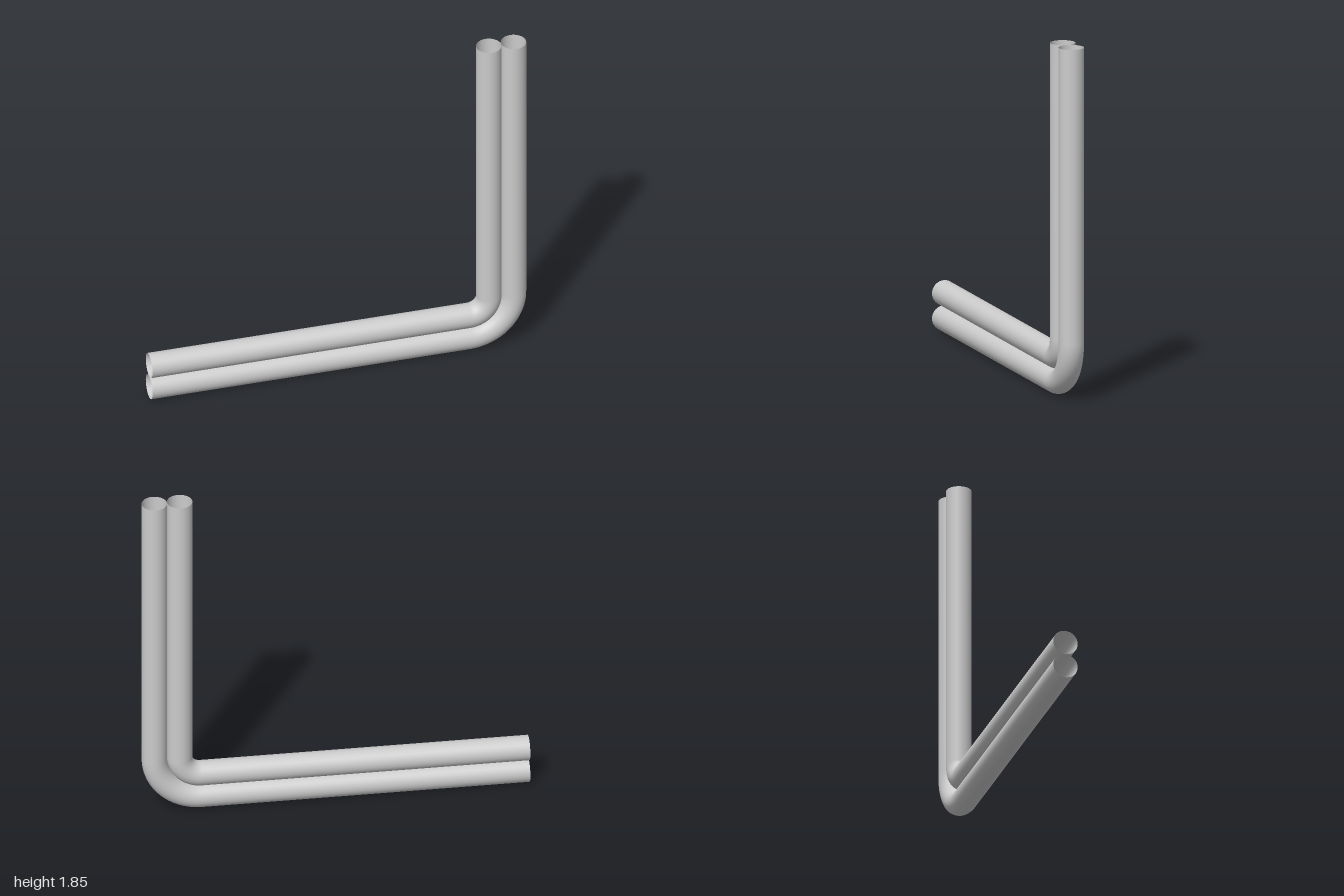
import * as THREE from 'three';

const R = 0.0655;                        // pipe radius
const SIDES = 32;
const BEND = { x: 0.695, y: 0.305 };     // shared centre of both elbows
const LEFT_END = -1, TOP = 1.85;

const material = new THREE.MeshStandardMaterial({ color: 0xcccccc, side: THREE.DoubleSide });

function addMesh(group, name, geometry, x, y) {
  const mesh = new THREE.Mesh(geometry, material);
  mesh.name = name;
  mesh.position.set(x, y, 0);
  group.add(mesh);
}

// Open-ended pipe: horizontal run, quarter elbow, vertical riser
function makePipe(name, bendRadius) {
  const pipe = new THREE.Group();
  pipe.name = name;

  const runLength = BEND.x - LEFT_END;
  const run = new THREE.CylinderGeometry(R, R, runLength, SIDES, 1, true).rotateZ(Math.PI / 2);
  addMesh(pipe, 'horizontalRun', run, LEFT_END + runLength / 2, BEND.y - bendRadius);

  const elbow = new THREE.TorusGeometry(bendRadius, R, SIDES, 24, Math.PI / 2).rotateZ(-Math.PI / 2);
  addMesh(pipe, 'elbow', elbow, BEND.x, BEND.y);

  const riserLength = TOP - BEND.y;
  const riser = new THREE.CylinderGeometry(R, R, riserLength, SIDES, 1, true);
  addMesh(pipe, 'riser', riser, BEND.x + bendRadius, BEND.y + riserLength / 2);

  return pipe;
}

export function createModel() {
  const model = new THREE.Group();
  model.name = 'bentPipePair';
  const outerBend = BEND.y - R;
  model.add(makePipe('outerPipe', outerBend));
  model.add(makePipe('innerPipe', outerBend - 2 * R));
  return model;
}
